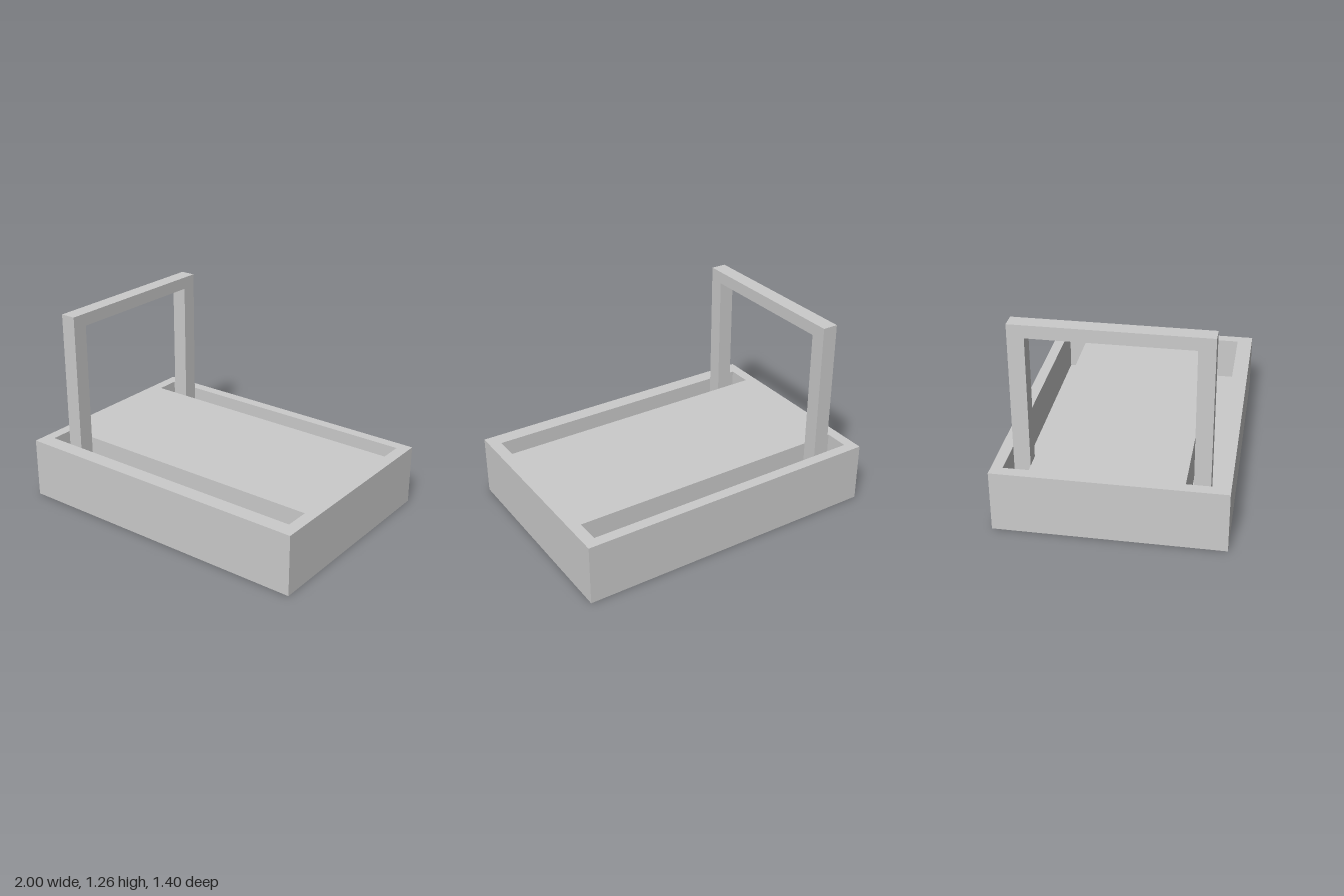
import * as THREE from 'three';

const material = new THREE.MeshStandardMaterial({ color: 0xcccccc, flatShading: true });

// Rectangle outline, used for both shapes and holes
function rect(target, x0, y0, x1, y1) {
  target.moveTo(x0, y0);
  target.lineTo(x1, y0);
  target.lineTo(x1, y1);
  target.lineTo(x0, y1);
  target.closePath();
  return target;
}

function addMesh(group, name, geometry) {
  const mesh = new THREE.Mesh(geometry, material);
  mesh.name = name;
  group.add(mesh);
}

export function createModel() {
  const group = new THREE.Group();
  group.name = 'slottedBaseWithHandle';
  const baseHeight = 0.39, slotFloor = 0.1;
  const slotX = [-0.93, 0.925];
  const slots = [
    { name: 'frontSlotFloor', z: [0.44, 0.6] },
    { name: 'backSlotFloor', z: [-0.63, -0.475] },
  ];

  // Base block with two long slots; shape y runs towards -z
  const outline = rect(new THREE.Shape(), -1, -0.7, 1, 0.7);
  for (const { z } of slots) {
    outline.holes.push(rect(new THREE.Path(), slotX[0], -z[1], slotX[1], -z[0]));
  }
  const base = new THREE.ExtrudeGeometry(outline, { depth: baseHeight, bevelEnabled: false });
  base.rotateX(-Math.PI / 2);
  addMesh(group, 'base', base);

  // Floors closing the slots
  for (const { name, z } of slots) {
    const floor = new THREE.BoxGeometry(slotX[1] - slotX[0], slotFloor, z[1] - z[0]);
    floor.translate((slotX[0] + slotX[1]) / 2, slotFloor / 2, (z[0] + z[1]) / 2);
    addMesh(group, name, floor);
  }

  // Arched handle standing in the slots: profile in z and y, extruded along x
  const profile = new THREE.Shape([
    [-0.595, slotFloor], [-0.495, slotFloor], [-0.495, 1.18], [0.475, 1.18],
    [0.475, slotFloor], [0.575, slotFloor], [0.575, 1.26], [-0.595, 1.26],
  ].map(([z, y]) => new THREE.Vector2(z, y)));
  const handle = new THREE.ExtrudeGeometry(profile, { depth: 0.1, bevelEnabled: false });
  handle.rotateY(-Math.PI / 2).translate(-0.71, 0, 0);
  addMesh(group, 'handle', handle);

  return group;
}
